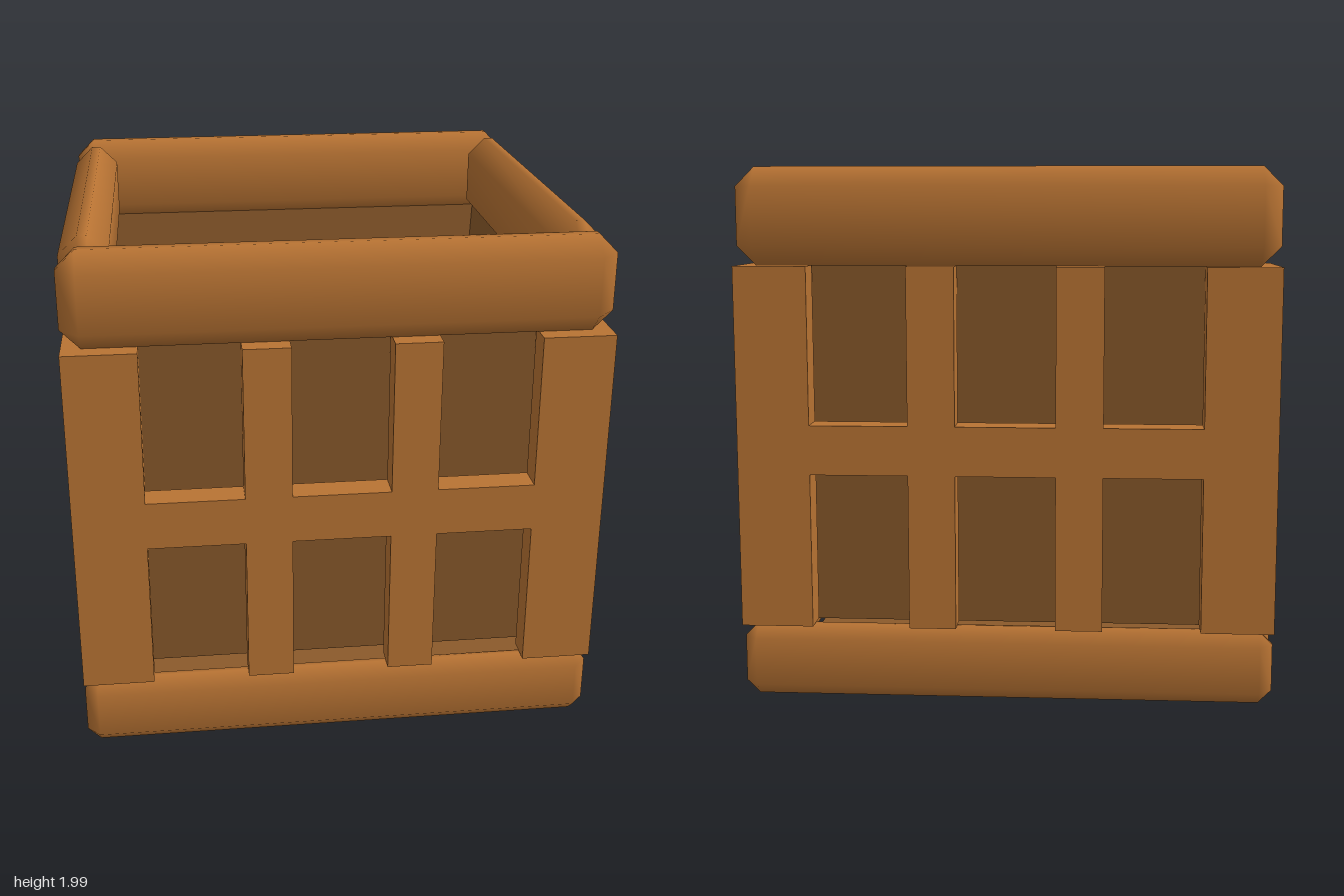
import * as THREE from 'three';
import { mergeVertices } from 'three/addons/utils/BufferGeometryUtils.js';
import { ConvexGeometry } from 'three/addons/geometries/ConvexGeometry.js';

const HALF = 0.995;
const wood = new THREE.MeshStandardMaterial({ color: 0xb87333 });
wood.name = 'copper wood';
const darkWood = new THREE.MeshStandardMaterial({ color: 0x8b5a2b, side: THREE.DoubleSide });
darkWood.name = 'dark wood';
const ink = new THREE.MeshStandardMaterial({ color: 0x1a1a2e });
ink.name = 'dark label';

function add(parent, name, geometry, material, x = 0, y = 0, z = 0) {
  const mesh = new THREE.Mesh(geometry, material);
  mesh.name = name;
  mesh.position.set(x, y, z);
  parent.add(mesh);
  return mesh;
}

// Box with every edge chamfered by b, shaded smoothly across the chamfers
function chamferedBox(w, h, d, b) {
  const points = [];
  for (const sx of [-1, 1]) for (const sy of [-1, 1]) for (const sz of [-1, 1]) {
    for (let axis = 0; axis < 3; axis++) {
      const inset = [b, b, b];
      inset[axis] = 0;
      points.push(new THREE.Vector3(
        sx * (w / 2 - inset[0]), sy * (h / 2 - inset[1]), sz * (d / 2 - inset[2])));
    }
  }
  let geometry = new ConvexGeometry(points);
  geometry.deleteAttribute('normal');
  geometry = mergeVertices(geometry, 1e-4);
  geometry.computeVertexNormals();
  return geometry;
}

// Four padded rails in a ring: long ones front and back, short ones between
function railRing(parent, name, y0, y1, thick, bevel) {
  const ring = new THREE.Group();
  ring.name = name;
  const h = y1 - y0, y = (y0 + y1) / 2, off = HALF - thick / 2;
  const long = chamferedBox(2 * HALF, h, thick, bevel);
  const short = chamferedBox(thick, h, 2 * (HALF - thick), bevel);
  for (const s of [1, -1]) {
    add(ring, s > 0 ? 'frontRail' : 'backRail', long, wood, 0, y, s * off);
    add(ring, s > 0 ? 'leftRail' : 'rightRail', short, wood, s * off, y, 0);
  }
  parent.add(ring);
}

// Lattice panel: posts joined by a middle bar, notched at the top and bottom
const PANEL = 0.11;
function lattice(halfWidth, openings) {
  const y0 = 0.28, y1 = 1.63, barLow = 0.86, barHigh = 1.045;
  const shape = new THREE.Shape();
  shape.moveTo(-halfWidth, y0);
  for (const [a, b] of openings) {
    shape.lineTo(a, y0);
    shape.lineTo(a, barLow);
    shape.lineTo(b, barLow);
    shape.lineTo(b, y0);
  }
  shape.lineTo(halfWidth, y0);
  shape.lineTo(halfWidth, y1);
  for (const [a, b] of [...openings].reverse()) {
    shape.lineTo(b, y1);
    shape.lineTo(b, barHigh);
    shape.lineTo(a, barHigh);
    shape.lineTo(a, y1);
  }
  shape.lineTo(-halfWidth, y1);
  shape.closePath();
  const geometry = new THREE.ExtrudeGeometry(shape, { depth: PANEL, bevelEnabled: false });
  return geometry.translate(0, 0, HALF - PANEL);
}

export function createModel() {
  const model = new THREE.Group();
  model.name = 'crate';

  railRing(model, 'topRails', 1.63, 1.99, 0.18, 0.072);
  railRing(model, 'bottomRails', 0, 0.277, 0.12, 0.05);

  // Lattice walls on all four sides
  const wide = lattice(HALF, [[-0.725, -0.36], [-0.185, 0.185], [0.36, 0.725]]);
  const narrow = lattice(HALF - PANEL, [[-0.605, -0.32], [-0.14, 0.14], [0.32, 0.605]]);
  ['frontLattice', 'leftLattice', 'backLattice', 'rightLattice'].forEach((name, i) => {
    add(model, name, i % 2 ? narrow : wide, wood).rotation.y = i * Math.PI / 2;
  });

  // Tapered inner tub, open at the top
  const low = 0.25, high = 1.74;
  const tub = new THREE.CylinderGeometry(
    0.88 * Math.SQRT2, 0.79 * Math.SQRT2, high - low, 4, 1, true).rotateY(Math.PI / 4).toNonIndexed();
  tub.computeVertexNormals();
  add(model, 'innerTub', tub, darkWood, 0, (low + high) / 2, 0);
  add(model, 'tubFloor', new THREE.PlaneGeometry(1.58, 1.58).rotateX(-Math.PI / 2), darkWood, 0, low, 0);

  // Base plate between the bottom rails
  add(model, 'basePlate', new THREE.BoxGeometry(1.73, 0.03, 1.73), darkWood, 0, 0.025, 0);

  // Blank label plates on the two side rails
  const label = new THREE.BoxGeometry(0.008, 0.145, 0.725);
  for (const s of [1, -1]) {
    add(model, s > 0 ? 'leftLabel' : 'rightLabel', label, ink, s * (HALF + 0.001), 1.81, 0);
  }
  return model;
}
